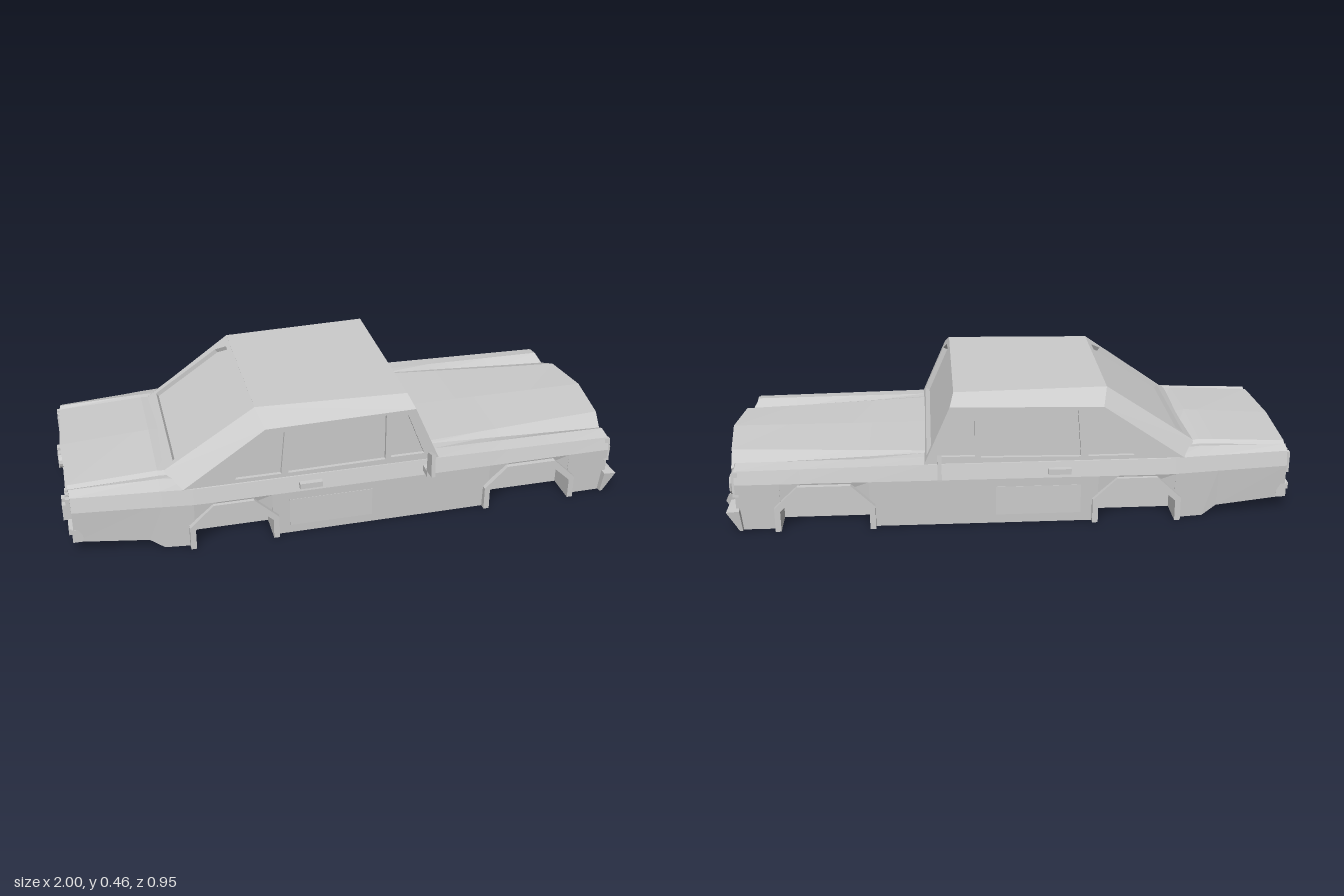
import * as THREE from 'three';
import { ConvexGeometry } from 'three/addons/geometries/ConvexGeometry.js';

const mat = new THREE.MeshStandardMaterial({ color: 0xcccccc, flatShading: true, side: THREE.DoubleSide });
const V = (x, y, z) => new THREE.Vector3(x, y, z);

export function createModel() {
  const car = new THREE.Group();
  car.name = 'car';

  const add = (name, geo) => {
    const mesh = new THREE.Mesh(geo, mat);
    mesh.name = name;
    car.add(mesh);
  };
  // Copy a geometry to the other side of z = 0, keeping its faces outward
  const mirrored = (geo) => {
    const g = geo.index ? geo.toNonIndexed() : geo.clone();
    const p = g.attributes.position, a = V(), b = V();
    for (let i = 0; i < p.count; i += 3) {
      a.fromBufferAttribute(p, i + 1);
      b.fromBufferAttribute(p, i + 2);
      p.setXYZ(i + 1, b.x, b.y, b.z);
      p.setXYZ(i + 2, a.x, a.y, a.z);
    }
    g.scale(1, 1, -1);
    g.computeVertexNormals();
    return g;
  };
  const pair = (name, geo) => { add(name + 'Left', geo); add(name + 'Right', mirrored(geo)); };
  const box = (x0, x1, y0, y1, z0, z1) =>
    new THREE.BoxGeometry(x1 - x0, y1 - y0, z1 - z0).translate((x0 + x1) / 2, (y0 + y1) / 2, (z0 + z1) / 2);
  const hull = (pts) => new ConvexGeometry(pts.map((p) => V(...p)));
  const toV2 = (pts) => pts.map(([x, y]) => new THREE.Vector2(x, y));
  // Flat plate with openings, lying in the plane given by origin, u and v
  const panel = (outline, holes, depth, o, u, v) => {
    const s = new THREE.Shape(toV2(outline));
    s.holes = holes.map((h) => new THREE.Path(toV2(h)));
    const g = new THREE.ExtrudeGeometry(s, { depth, bevelEnabled: false }).translate(0, 0, -depth);
    const n = u.clone().cross(v);
    return g.applyMatrix4(new THREE.Matrix4().makeBasis(u, v, n).setPosition(o));
  };
  const X = V(1, 0, 0), Y = V(0, 1, 0), Z = V(0, 0, 1), NZ = V(0, 0, -1);

  // --- Lower body: cross-sections along x, notched for the wheel wells
  // x, floor, half width, shoulder y, fender z/y, valley z/y, deck edge z/y, centre y
  const keys = [
    [-0.97, 0.05, 0.345, 0.222, 0.30, 0.236, 0.285, 0.228, 0.27, 0.236, 0.240],
    [-0.72, 0.035, 0.372, 0.224, 0.31, 0.240, 0.285, 0.236, 0.27, 0.248, 0.257],
    [-0.67, 0, 0.378, 0.225, 0.31, 0.241, 0.285, 0.238, 0.27, 0.250, 0.260],
    [-0.55, 0, 0.392, 0.225, 0.32, 0.235, 0.290, 0.235, 0.27, 0.240, 0.240],
    [0.30, 0, 0.390, 0.225, 0.32, 0.229, 0.285, 0.230, 0.27, 0.233, 0.236],
    [0.95, 0, 0.386, 0.216, 0.32, 0.225, 0.275, 0.200, 0.205, 0.228, 0.238],
  ];
  const sample = (x) => {
    let i = 0;
    while (i < keys.length - 2 && x > keys[i + 1][0]) i++;
    const t = (x - keys[i][0]) / (keys[i + 1][0] - keys[i][0]);
    return keys[i].map((k, j) => k + (keys[i + 1][j] - k) * t);
  };
  const arch = (cx, half, top, ySide, yTop) => [[cx - half, 0], [cx - half, ySide], [cx - top, yTop],
    [cx + top, yTop], [cx + half, ySide], [cx + half, 0]];
  const arches = [[-0.43, 0.135, 0.06], [0.647, 0.152, 0.08]];
  const wells = arches.map(([c, h, t]) => arch(c, h, t, 0.075, 0.142));
  const stations = [[-0.97, 0], [-0.72, 0], [-0.67, 0], ...wells[0], [-0.1, 0], [0.3, 0], ...wells[1], [0.95, 0]];
  const rings = stations.map(([x, lift]) => {
    const [, y0, w, ys, zf, yf, zv, yv, zh, yh, yt] = sample(x);
    const yb = Math.max(y0, lift), nose = x > 0.94 ? 0.05 : 0, tail = x < -0.96 ? -0.015 : 0;
    const half = [[0, y0], [0.29, y0], [0.29, yb], [w - 0.008, yb], [w, 0.17], [w - 0.012, ys],
      [zf, yf], [zv, yv], [zh, yh], [0, yt]];
    const ring = [...half, ...half.slice(1, -1).reverse().map(([z, y]) => [-z, y])];
    // The hood lip bows forward and the tail bows back
    return ring.map(([z, y]) => {
      const bow = Math.max(0, 1 - (z / 0.32) ** 2);
      return V(x + (y > 0.19 ? (nose + tail) * bow : 0), y, z);
    });
  });
  const verts = [];
  const tri = (a, b, c) => [a, b, c].forEach((p) => verts.push(p.x, p.y, p.z));
  for (let i = 0; i < rings.length - 1; i++) {
    const A = rings[i], B = rings[i + 1], n = A.length;
    for (let j = 0; j < n; j++) {
      const k = (j + 1) % n;
      tri(A[j], B[j], B[k]);
      tri(A[j], B[k], A[k]);
    }
  }
  [[rings[0], -1], [rings[rings.length - 1], 1]].forEach(([r, dir]) => {
    for (const [i, j, k] of THREE.ShapeUtils.triangulateShape(r.map((p) => new THREE.Vector2(p.z, p.y)), [])) {
      const nx = r[j].clone().sub(r[i]).cross(r[k].clone().sub(r[i])).x;
      if (nx * dir > 0) tri(r[i], r[j], r[k]); else tri(r[i], r[k], r[j]);
    }
  });
  const body = new THREE.BufferGeometry();
  body.setAttribute('position', new THREE.Float32BufferAttribute(verts, 3));
  body.computeVertexNormals();
  add('lowerBody', body);

  // --- Wheel arch lips
  arches.forEach(([c, h, t], i) => {
    const lip = [...arch(c, h + 0.02, t + 0.01, 0.085, 0.165), ...wells[i].slice().reverse()];
    pair(i ? 'frontArchLip' : 'rearArchLip', panel(lip, [], 0.03, V(0, 0, 0.404), X, Y));
  });

  // --- Cabin sides with window openings
  const windows = [
    [[-0.42, 0.24], [-0.26, 0.24], [-0.245, 0.402], [-0.305, 0.40]],
    [[-0.235, 0.24], [0.11, 0.245], [0.11, 0.418], [-0.222, 0.408]],
    [[0.13, 0.25], [0.25, 0.25], [0.188, 0.408], [0.13, 0.418]],
  ];
  const side = [[-0.6, 0.215], [0.3, 0.215], [0.3, 0.235], [0.2145, 0.43], [-0.31, 0.42], [-0.6, 0.222]];
  pair('cabinSide', panel(side, windows, 0.025, V(0, 0, 0.375), X, Y));
  windows.forEach((w, i) => pair('sideWindow' + (i + 1), panel(w, [], 0.004, V(0, 0, 0.362), X, Y)));

  // --- Roof, its bevelled edges and the rear pillars
  const R1 = V(0.2, 0.463, 0.315), R2 = V(-0.33, 0.463, 0.29), R3 = V(-0.65, 0.245, 0.27);
  const S1 = V(0.2145, 0.43, 0.375), S2 = V(-0.31, 0.42, 0.375), S3 = V(-0.6, 0.222, 0.375);
  const C1 = V(0.2, 0.463, 0), C2 = V(-0.33, 0.463, 0);
  const roof = new THREE.BufferGeometry().setFromPoints([R1, C1, C2, R1, C2, R2,
    S1, R1, R2, S1, R2, S2, S2, R2, R3, S2, R3, S3]);
  roof.computeVertexNormals();
  pair('roof', roof);

  // --- Windshield and rear window, each a recessed pane in a frame
  const wv = V(-0.1, 0.228, 0).normalize(), wo = V(0.3, 0.235, 0);
  const shield = [[-0.345, 0.01], [0.345, 0.01], [0.345, 0.192], [0.29, 0.228], [-0.29, 0.228], [-0.345, 0.192]];
  add('windshieldFrame', panel([[-0.375, -0.015], [0.375, -0.015], [0.375, 0.213], [0.315, 0.249],
    [-0.315, 0.249], [-0.375, 0.213]], [shield], 0.022, wo, NZ, wv));
  add('windshield', panel(shield, [], 0.004, wo.clone().add(V(-0.016, -0.007, 0)), NZ, wv));
  const rv = V(0.32, 0.218, 0).normalize(), ro = V(-0.65, 0.245, 0);
  const back = [[-0.25, 0.045], [0.25, 0.045], [0.25, 0.325], [0.215, 0.37], [-0.215, 0.37], [-0.25, 0.325]];
  add('rearWindowFrame', panel([[-0.27, 0], [0.27, 0], [0.29, 0.387], [-0.29, 0.387]], [back], 0.022, ro, Z, rv));
  add('rearWindow', panel(back, [], 0.004, ro.clone().add(V(0.009, -0.013, 0)), Z, rv));

  // --- Side fittings
  pair('doorHandle', box(-0.2, -0.12, 0.185, 0.205, 0.37, 0.403));
  pair('sillPanel', box(-0.235, 0.06, 0.035, 0.14, 0.37, 0.391));
  pair('mirrorArm', box(0.245, 0.26, 0.185, 0.207, 0.37, 0.43));
  pair('mirror', panel([[-0.475, 0.21], [-0.42, 0.205], [-0.425, 0.283], [-0.468, 0.296]], [], 0.014,
    V(0.26, 0, 0), NZ, Y));

  // --- Grille with slats
  const grille = [[-0.215, 0.115], [0.215, 0.115], [0.225, 0.165], [0.19, 0.208], [-0.19, 0.208], [-0.225, 0.165]];
  const inner = grille.map(([z, y]) => [z * 0.95, 0.16 + (y - 0.16) * 0.86]);
  add('grilleFrame', panel(grille, [inner], 0.035, V(0.983, 0, 0), NZ, Y));
  for (let i = 0; i < 6; i++) {
    const y = 0.127 + i * 0.013, w = y < 0.165 ? 0.21 : 0.21 - (y - 0.165) * 0.7;
    add('grilleSlat' + (i + 1), box(0.945, 0.979, y, y + 0.006, -w, w));
  }

  // --- Headlamps
  pair('headlampHousing', panel([[-0.385, 0.125], [-0.27, 0.115], [-0.235, 0.165], [-0.28, 0.2], [-0.378, 0.212]],
    [], 0.02, V(0.958, 0, 0), NZ, Y));
  pair('headlampRim', new THREE.TorusGeometry(0.032, 0.006, 4, 8).rotateZ(Math.PI / 8).rotateY(Math.PI / 2)
    .translate(0.964, 0.156, 0.335));
  pair('headlamp', new THREE.CylinderGeometry(0.027, 0.03, 0.02, 8).rotateZ(-Math.PI / 2).translate(0.96, 0.156, 0.335));

  // --- Front bumper: sloped bar, wrapped ends and upright guards
  const bothSides = (pts) => [...pts, ...pts.map(([x, y, z]) => [x, y, -z])];
  add('frontBumper', hull(bothSides([[0.9, 0, 0.3], [0.945, 0, 0.3], [0.972, 0.078, 0.3], [0.95, 0.112, 0.27],
    [0.9, 0.112, 0.27], [0.958, 0, 0.15], [0.988, 0.078, 0.15]])));
  pair('frontBumperEnd', hull([[0.93, 0.004, 0.29], [0.95, 0.004, 0.29], [0.978, 0.078, 0.29], [0.94, 0.085, 0.29],
    [0.93, 0.004, 0.398], [0.94, 0.004, 0.398], [0.982, 0.078, 0.405], [0.937, 0.082, 0.408]]));
  pair('bumperGuard', hull([[0.94, 0.004, 0.262], [0.94, 0.004, 0.295], [0.965, 0.004, 0.268], [0.965, 0.004, 0.285],
    [0.998, 0.07, 0.268], [0.998, 0.07, 0.29], [0.95, 0.11, 0.262], [0.95, 0.11, 0.31], [0.985, 0.1, 0.3]]));

  // --- Tail: lamps, filler cap, bumper and overriders
  for (let i = 0; i < 3; i++) {
    const z = 0.245 + i * 0.03;
    pair('tailLamp' + (i + 1), box(-0.985, -0.96, 0.135, 0.212, z, z + 0.018));
  }
  add('fillerCap', new THREE.CylinderGeometry(0.024, 0.024, 0.02, 12).rotateZ(Math.PI / 2).translate(-0.984, 0.175, 0));
  add('rearBumper', box(-0.985, -0.95, 0.075, 0.098, -0.33, 0.33));
  [0.155, 0.2].forEach((z, i) => pair('overrider' + (i + 1), box(-1, -0.96, 0.06, 0.12, z - 0.012, z + 0.012)));
  pair('rearBumperEnd', box(-0.975, -0.94, 0.05, 0.1, 0.27, 0.342));

  return car;
}
